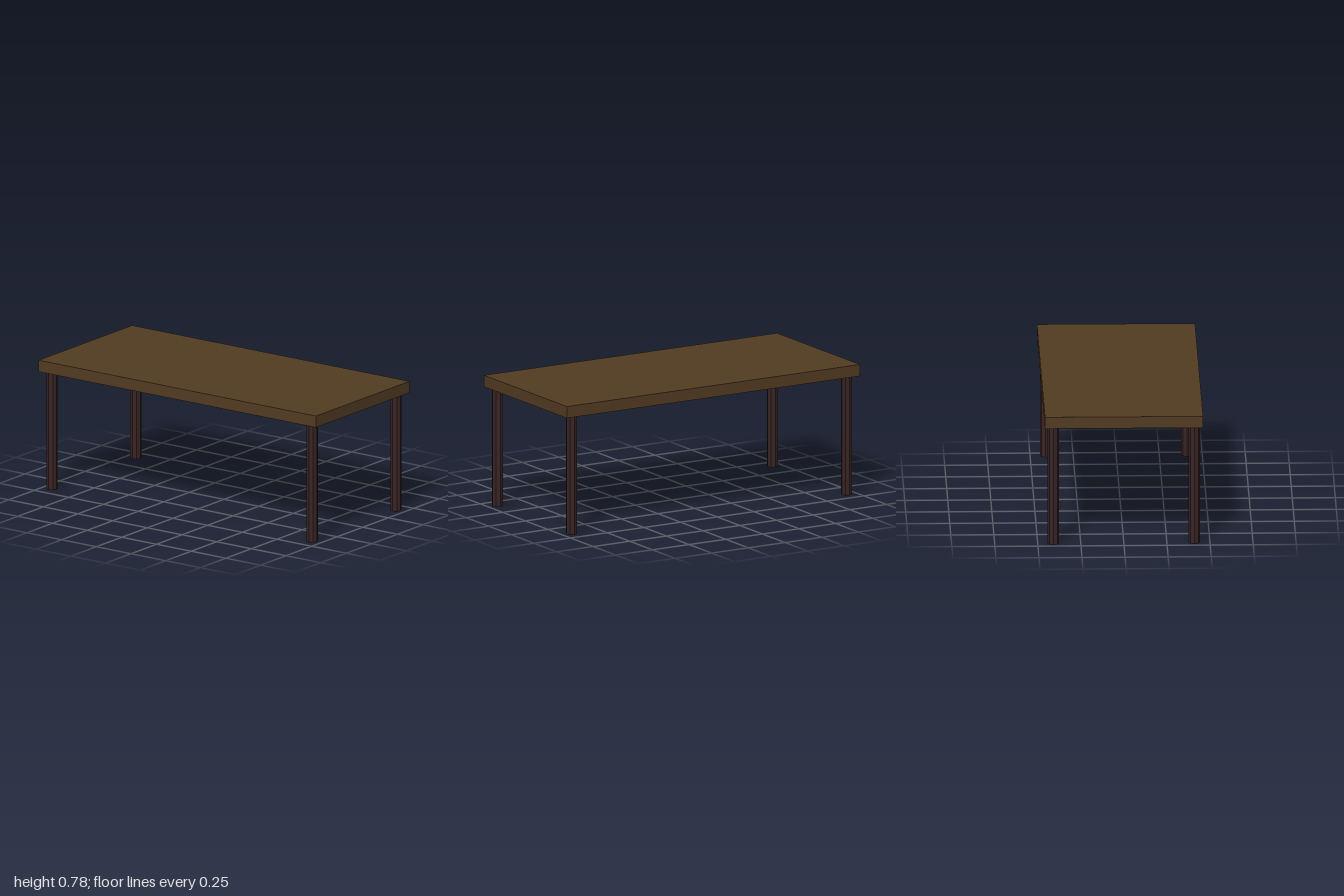
import * as THREE from 'three';

export function createModel() {
  const table = new THREE.Group();
  table.name = 'table';

  const brownWood = new THREE.MeshStandardMaterial({ color: 0x523b21 });
  brownWood.name = 'brown wood';
  const darkWood = new THREE.MeshStandardMaterial({ color: 0x382324, flatShading: true });
  darkWood.name = 'dark wood';

  const legHeight = 0.707, topThickness = 0.069;

  // Flat slab top
  const top = new THREE.Mesh(new THREE.BoxGeometry(2, topThickness, 0.918), brownWood);
  top.name = 'tableTop';
  top.position.y = legHeight + topThickness / 2;
  table.add(top);

  // Four eight-sided legs, set in from the corners
  const legGeometry = new THREE.CylinderGeometry(0.033, 0.033, legHeight, 8);
  for (const [xName, x] of [['Left', 1], ['Right', -1]]) {
    for (const [zName, z] of [['front', 1], ['back', -1]]) {
      const leg = new THREE.Mesh(legGeometry, darkWood);
      leg.name = `${zName}${xName}Leg`;
      leg.position.set(x * 0.938, legHeight / 2, z * 0.41);
      table.add(leg);
    }
  }

  return table;
}
